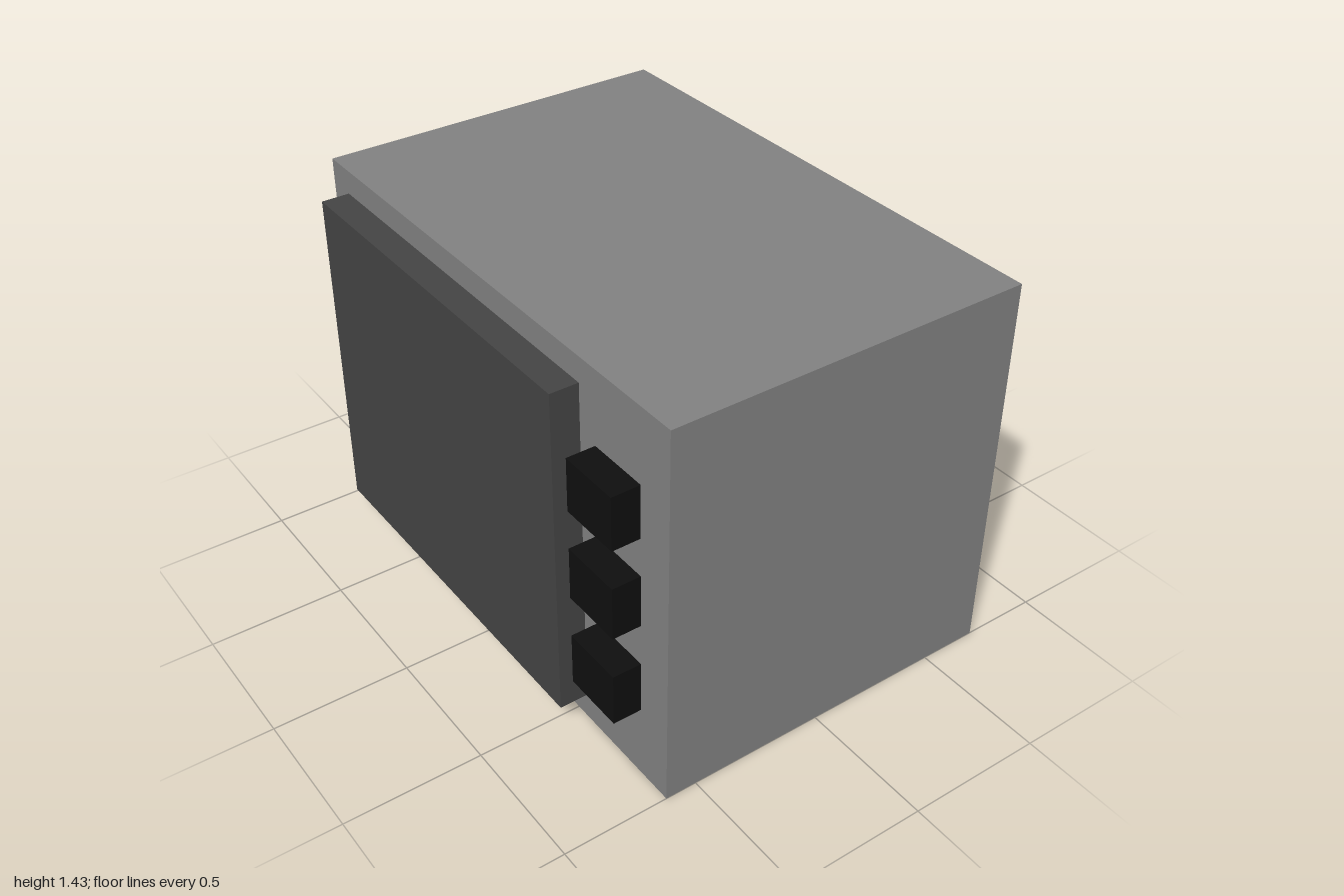
import * as THREE from 'three';

function material(name, color) {
  const m = new THREE.MeshStandardMaterial({ color });
  m.name = name;
  return m;
}

export function createModel() {
  const model = new THREE.Group();
  model.name = 'microwaveOven';
  const grey = material('casingGrey', 0x808080);
  const darkGrey = material('doorDarkGrey', 0x444444);
  const black = material('buttonBlack', 0x0f0f0f);

  // Box between two opposite corners
  function addBox(name, mat, [x0, y0, z0], [x1, y1, z1]) {
    const mesh = new THREE.Mesh(new THREE.BoxGeometry(x1 - x0, y1 - y0, z1 - z0), mat);
    mesh.position.set((x0 + x1) / 2, (y0 + y1) / 2, (z0 + z1) / 2);
    mesh.name = name;
    model.add(mesh);
  }

  const outer = -0.718, side = -0.615;

  // Casing
  addBox('casing', grey, [side, 0, -1], [0.718, 1.435, 1]);

  // Door standing proud of the right side
  addBox('door', darkGrey, [outer, 0.093, -0.895], [side, 1.343, 0.55]);

  // Column of three buttons beside the door
  [0.375, 0.727, 1.066].forEach((y, i) =>
    addBox(`button${i + 1}`, black, [outer, y - 0.098, 0.63], [side, y + 0.098, 0.86]));

  return model;
}
